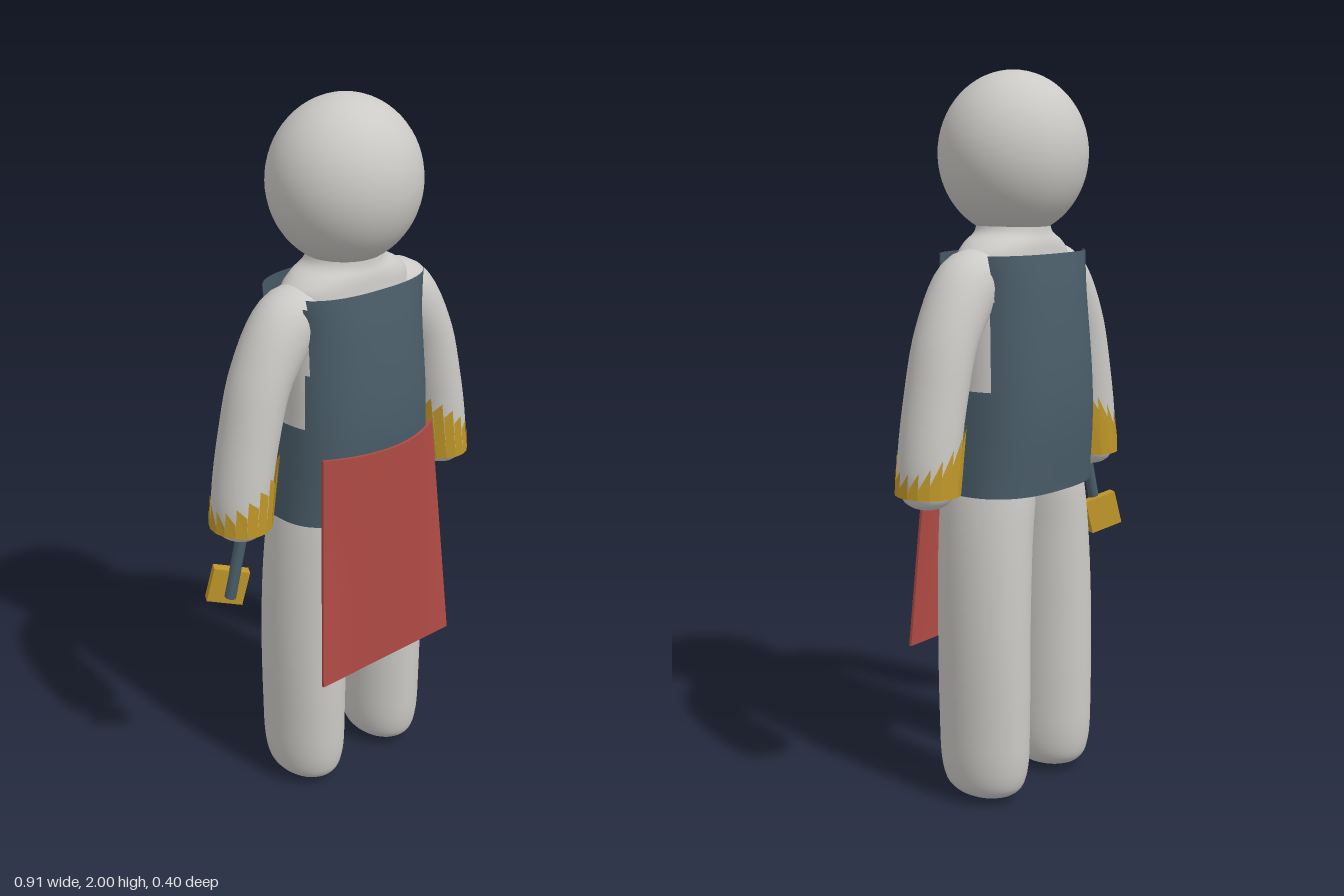
import * as THREE from 'three';

const mat = (name, color, side = THREE.FrontSide) =>
  new THREE.MeshStandardMaterial({ name, color, side });

// Smooth skin over cross-sections listed from top to bottom: [x, y, z, rx, rz].
// bend: sections follow the path in the xy plane; power: squareness of the section;
// skip(y, z): leaves a hole in the skin.
function loft(rows, { bend = false, power = 2, skip = null, steps = 36, sides = 40 } = {}) {
  const path = new THREE.CatmullRomCurve3(rows.map(r => new THREE.Vector3(r[0], r[1], r[2])), false, 'catmullrom');
  const radii = new THREE.CatmullRomCurve3(rows.map(r => new THREE.Vector3(r[3], r[4], 0)), false, 'catmullrom');
  const round = v => Math.sign(v) * Math.abs(v) ** (2 / power);
  const pos = [], index = [];
  for (let i = 0; i <= steps; i++) {
    const c = path.getPoint(i / steps), r = radii.getPoint(i / steps);
    const t = bend ? path.getTangent(i / steps) : new THREE.Vector3(0, -1, 0);
    for (let j = 0; j < sides; j++) {
      const a = (j / sides) * Math.PI * 2;
      const u = round(Math.cos(a)) * r.x, v = round(Math.sin(a)) * r.y;
      pos.push(c.x - t.y * u, c.y + t.x * u, c.z + v);
    }
  }
  for (let i = 0; i < steps; i++) {
    for (let j = 0; j < sides; j++) {
      const k = (j + 1) % sides;
      const a = i * sides + j, b = i * sides + k, c = a + sides, d = b + sides;
      if (skip && skip(pos[c * 3 + 1], (pos[a * 3 + 2] + pos[b * 3 + 2]) / 2)) continue;
      index.push(a, b, c, b, d, c);
    }
  }
  const g = new THREE.BufferGeometry();
  g.setAttribute('position', new THREE.Float32BufferAttribute(pos, 3));
  g.setIndex(index);
  g.computeVertexNormals();
  return g;
}

// Faceted sleeve guard with a saw-toothed top, taller on the inner side
function cuffGeometry(side, sides = 18) {
  const pos = [];
  const point = (a, y) => {
    const lift = (y - 0.91) / 0.2;
    return [side * (0.371 - 0.03 * lift ** 1.5 + 0.083 * Math.cos(a)), y, 0.09 * Math.sin(a)];
  };
  for (let j = 0; j < sides; j++) {
    const a = (j / sides) * Math.PI * 2, b = ((j + 1) / sides) * Math.PI * 2;
    const top = (angle, tooth) => 1.025 - 0.075 * Math.cos(angle) + tooth;
    const p = point(a, 0.91), q = point(b, 0.91);
    const r = point(a, top(a, 0.025)), s = point(b, top(b, -0.02));
    if (side > 0) pos.push(...p, ...r, ...q, ...q, ...r, ...s);
    else pos.push(...p, ...q, ...r, ...q, ...s, ...r);
  }
  const g = new THREE.BufferGeometry();
  g.setAttribute('position', new THREE.Float32BufferAttribute(pos, 3));
  g.computeVertexNormals();
  return g;
}

// Curved at the waist, flat and wider at the hem
function apronGeometry() {
  const g = new THREE.BoxGeometry(1, 1, 0.008, 20, 10, 1);
  const p = g.attributes.position;
  for (let i = 0; i < p.count; i++) {
    const s = p.getX(i) * 2, t = 0.5 - p.getY(i);
    const z = THREE.MathUtils.lerp(0.197 - 0.06 * s * s, 0.18, t);
    p.setXYZ(i, s * (0.2 + 0.042 * t), 1.09 - 0.665 * t, z + p.getZ(i));
  }
  g.computeVertexNormals();
  return g;
}

export function createModel() {
  const model = new THREE.Group();
  model.name = 'figure';
  const skin = mat('pale grey', 0xcccac6);
  const cloth = mat('slate blue', 0x4a5d69, THREE.DoubleSide);
  const red = mat('apron red', 0xb04a44, THREE.DoubleSide);
  const gold = mat('old gold', 0xbf9728, THREE.DoubleSide);
  const add = (name, geometry, material, parent = model) => {
    const m = new THREE.Mesh(geometry, material);
    m.name = name;
    parent.add(m);
    return m;
  };

  // Head and trunk
  const head = add('head', new THREE.SphereGeometry(1, 48, 32), skin);
  head.scale.set(0.21, 0.22, 0.2);
  head.position.y = 1.78;
  add('torso', loft([
    [0, 1.62, 0, 0.1, 0.095], [0, 1.575, 0, 0.115, 0.1], [0, 1.545, 0, 0.17, 0.11],
    [0, 1.5, 0, 0.205, 0.115], [0, 1.38, 0, 0.195, 0.13], [0, 1.15, 0, 0.19, 0.14],
    [0, 0.95, 0, 0.2, 0.14], [0, 0.87, -0.005, 0.17, 0.12], [0, 0.84, -0.005, 0, 0],
  ]), skin);

  // Limbs and cuffs
  for (const side of [1, -1]) {
    const label = side > 0 ? 'left' : 'right';
    add(label + 'Leg', loft([
      [side * 0.1, 1.02, 0, 0.08, 0.11], [side * 0.112, 0.9, 0, 0.11, 0.138],
      [side * 0.135, 0.73, -0.005, 0.112, 0.139], [side * 0.148, 0.5, -0.01, 0.11, 0.138],
      [side * 0.15, 0.25, -0.012, 0.107, 0.137], [side * 0.15, 0.09, -0.013, 0.1, 0.13],
      [side * 0.15, 0.025, -0.013, 0.07, 0.095], [side * 0.15, 0.003, -0.013, 0, 0],
    ]), skin);
    add(label + 'Arm', loft([
      [side * 0.1, 1.48, 0, 0.05, 0.08], [side * 0.2, 1.44, 0, 0.088, 0.09],
      [side * 0.29, 1.31, 0, 0.08, 0.088], [side * 0.337, 1.15, 0, 0.077, 0.087],
      [side * 0.366, 1.0, 0, 0.076, 0.085], [side * 0.374, 0.92, 0, 0.068, 0.076],
      [side * 0.375, 0.882, 0, 0.045, 0.05], [side * 0.375, 0.868, 0, 0, 0],
    ], { bend: true }), skin);
    add(label + 'Cuff', cuffGeometry(side), gold);
  }

  // Sleeveless vest with open armholes
  add('vest', loft([
    [0, 1.52, -0.002, 0.232, 0.148], [0, 1.4, -0.002, 0.215, 0.168], [0, 1.2, -0.002, 0.221, 0.188],
    [0, 1.05, -0.004, 0.228, 0.187], [0, 0.88, -0.006, 0.236, 0.168],
  ], { power: 2.6, sides: 72, skip: (y, z) => y > 1.15 && Math.abs(z) < 0.082 }), cloth);

  add('apron', apronGeometry(), red);

  // Small tool held in the right hand
  const tool = new THREE.Group();
  tool.name = 'handTool';
  model.add(tool);
  const top = new THREE.Vector3(-0.36, 0.91, 0), end = new THREE.Vector3(-0.403, 0.69, -0.016);
  const dir = end.clone().sub(top);
  const rod = add('toolHandle', new THREE.CylinderGeometry(0.016, 0.016, dir.length(), 8), cloth, tool);
  rod.position.copy(top).lerp(end, 0.5);
  rod.quaternion.setFromUnitVectors(new THREE.Vector3(0, 1, 0), dir.normalize());
  const block = add('toolHead', new THREE.BoxGeometry(0.1, 0.1, 0.03), gold, tool);
  block.position.set(-0.397, 0.72, -0.034);
  block.rotation.set(0, -0.5, -0.25);

  return model;
}
